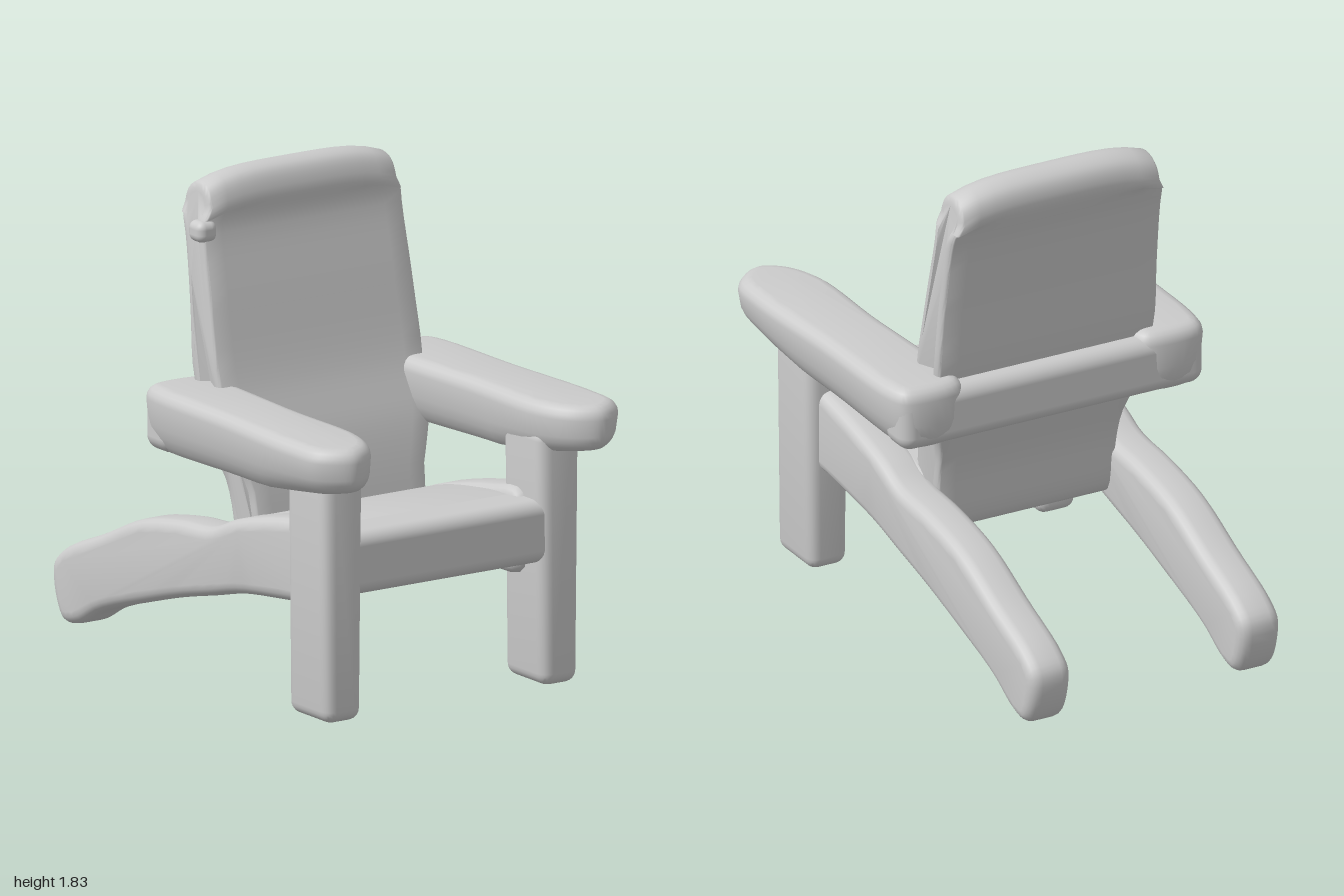
import * as THREE from 'three';
import { toCreasedNormals } from 'three/addons/utils/BufferGeometryUtils.js';
import { RoundedBoxGeometry } from 'three/addons/geometries/RoundedBoxGeometry.js';

const material = new THREE.MeshStandardMaterial({ color: 0xcccccc });

// Extrude a softened closed outline, centred on its depth, with rounded edges
function extrude(points, depth, bevel, samples, steps = 1) {
  const curve = new THREE.CatmullRomCurve3(
    points.map(([a, b]) => new THREE.Vector3(a, b, 0)), true, 'centripetal');
  const outline = curve.getPoints(samples).slice(0, -1).map((p) => new THREE.Vector2(p.x, p.y));
  const geometry = new THREE.ExtrudeGeometry(new THREE.Shape(outline), {
    depth: depth - 2 * bevel, steps, bevelSize: bevel, bevelThickness: bevel,
    bevelOffset: -bevel, bevelSegments: 4,
  });
  return geometry.translate(0, 0, bevel - depth / 2);
}

// Outline given as [z, y], extruded across x
const sideProfile = (...args) => extrude(...args).rotateY(-Math.PI / 2);

// Move every vertex by a rule
function reshape(geometry, rule) {
  const pos = geometry.attributes.position;
  const v = new THREE.Vector3();
  for (let i = 0; i < pos.count; i++) {
    rule(v.fromBufferAttribute(pos, i));
    pos.setXYZ(i, v.x, v.y, v.z);
  }
  geometry.computeVertexNormals();
  return geometry;
}

// Linear interpolation through [position, value] stops
function ramp(stops, t) {
  for (let i = 1; i < stops.length; i++) {
    const [a, va] = stops[i - 1], [b, vb] = stops[i];
    if (t <= b) return va + (vb - va) * THREE.MathUtils.clamp((t - a) / (b - a), 0, 1);
  }
  return stops[stops.length - 1][1];
}

// Rounded block given by its low and high corners
function block(lo, hi, radius) {
  const size = hi.map((h, i) => h - lo[i]);
  return new RoundedBoxGeometry(...size, 3, radius)
    .translate(...hi.map((h, i) => (h + lo[i]) / 2));
}

export function createModel() {
  const chair = new THREE.Group();
  chair.name = 'gardenChair';
  const add = (name, geometry, parent = chair) => {
    const mesh = new THREE.Mesh(geometry, material);
    mesh.name = name;
    parent.add(mesh);
    return mesh;
  };

  // Leaning backrest with shoulders below a crowned top
  const backProfile = [
    [0.13, 0.38], [0.11, 0.6], [0.06, 0.85], [-0.02, 1.08], [-0.09, 1.4], [-0.14, 1.66],
    [-0.13, 1.74], [-0.16, 1.82], [-0.22, 1.84], [-0.28, 1.81], [-0.3, 1.74], [-0.26, 1.6],
    [-0.22, 1.35], [-0.19, 1.08], [-0.13, 0.85], [-0.06, 0.62], [-0.02, 0.38], [0.05, 0.35],
  ];
  const halfWidths = [[0.35, 0.36], [0.7, 0.38], [0.9, 0.44], [1.15, 0.455], [1.66, 0.44],
    [1.71, 0.415], [1.84, 0.405]];
  const back = reshape(sideProfile(backProfile, 2, 0.03, 90, 12), (v) => {
    if (v.y > 1.7) v.y -= 0.045 * Math.pow(Math.abs(v.x), 4);
    v.x *= ramp(halfWidths, v.y);
  });
  add('backrest', toCreasedNormals(back, 0.8));
  add('backrestKnob', block([-0.465, 1.59, -0.21], [-0.38, 1.67, -0.12], 0.03));

  // Seat sloping down towards the back
  const seatProfile = [[0.78, 0.66], [0.7, 0.7], [0.4, 0.68], [0.1, 0.61], [0, 0.55],
    [0, 0.43], [0.1, 0.41], [0.45, 0.46], [0.72, 0.5]];
  add('seat', toCreasedNormals(sideProfile(seatProfile, 0.8, 0.02, 50), 0.8));
  add('frontRail', block([-0.46, 0.47, 0.6], [0.46, 0.705, 0.81], 0.05));

  // Rail behind the backrest joining the arms
  add('rearRail', block([-0.63, 0.83, -0.255], [0.63, 1.05, -0.09], 0.055));

  // Side rail that runs on as a curved back leg
  const legProfile = [[0.7, 0.72], [0.5, 0.71], [0.15, 0.63], [0, 0.57], [-0.2, 0.55],
    [-0.45, 0.5], [-0.7, 0.39], [-0.93, 0.29], [-1, 0.22], [-0.98, 0.08], [-0.93, 0.015],
    [-0.84, 0.025], [-0.7, 0.1], [-0.4, 0.2], [-0.2, 0.26], [0, 0.31], [0.2, 0.36],
    [0.5, 0.4], [0.7, 0.43]];
  const backLeg = toCreasedNormals(sideProfile(legProfile, 0.17, 0.045, 80), 0.9)
    .translate(0.435, 0, 0);

  // Broad arm, rounded in front, with its underside deeper towards the back
  const armPlan = [[0.4, 0.25], [0.6, 0.25], [0.64, 0.2], [0.66, -0.3], [0.68, -0.75],
    [0.66, -0.91], [0.55, -0.99], [0.45, -0.94], [0.38, -0.8], [0.37, -0.4], [0.36, 0.2]];
  const arm = extrude(armPlan, 0.16, 0.05, 70).rotateX(-Math.PI / 2);
  reshape(arm, (v) => {
    if (v.y < 0) {
      const drop = ramp([[-0.1, 0.085], [0.5, 0.07], [1, 0]], v.z);
      const t = -v.y / 0.08;
      v.x += (0.5 - v.x) * 0.2 * t;
      v.y -= drop * t;
    }
    v.y += 0.995;
  });
  const armGeometry = toCreasedNormals(arm, 0.9);

  // Front leg, slightly wider above the seat rail
  const frontLeg = toCreasedNormals(reshape(
    block([0.39, 0.01, 0.56], [0.56, 0.97, 0.82], 0.045).toNonIndexed(),
    (v) => { v.x = 0.475 + (v.x - 0.475) * (0.93 + 0.14 * v.y); }), 0.9);

  // Mirrored sides
  for (const [side, sign] of [['left', 1], ['right', -1]]) {
    const group = new THREE.Group();
    group.name = side + 'Side';
    chair.add(group);
    for (const [part, source] of [['BackLeg', backLeg], ['Arm', armGeometry], ['FrontLeg', frontLeg]]) {
      add(side + part, source, group).scale.x = sign;
    }
  }
  return chair;
}
